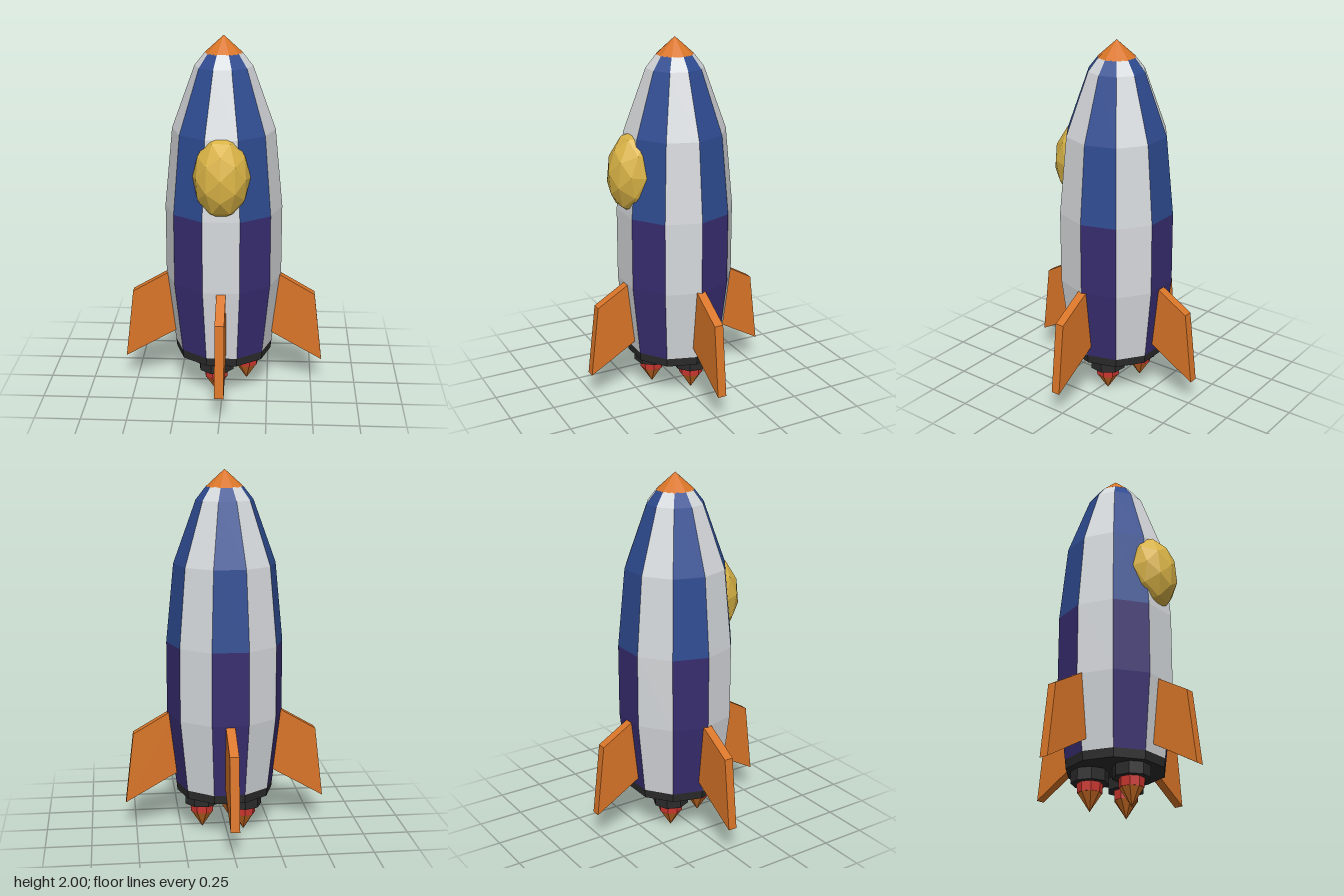
import * as THREE from 'three';

const mat = (name, color, side = THREE.FrontSide) => {
  const m = new THREE.MeshStandardMaterial({ color, flatShading: true, side });
  m.name = name;
  return m;
};

export function createModel() {
  const white = mat('white', 0xd6d9dc);
  const blue = mat('blue', 0x2e4b90);
  const purple = mat('purple', 0x382d70);
  const orange = mat('orange', 0xd97528);
  const black = mat('black', 0x2b2b2b);
  const red = mat('red', 0xcc362f);
  const gold = mat('gold', 0xd9b346);

  const rocket = new THREE.Group();
  rocket.name = 'rocket';
  const add = (name, geometry, material, parent = rocket) => {
    const mesh = new THREE.Mesh(geometry, material);
    mesh.name = name;
    parent.add(mesh);
    return mesh;
  };

  // Hull panels: alternate faces of a ten-sided hull, profile given as [radius, y]
  const SIDES = 10;
  const panels = (profile, parity) => {
    const pos = [];
    for (let k = parity; k < SIDES; k += 2) {
      const a0 = (k / SIDES) * Math.PI * 2;
      const a1 = ((k + 1) / SIDES) * Math.PI * 2;
      const p = ([r, y], a) => [r * Math.cos(a), y, r * Math.sin(a)];
      for (let i = 0; i < profile.length - 1; i++) {
        const A = p(profile[i], a0), B = p(profile[i], a1);
        const C = p(profile[i + 1], a1), D = p(profile[i + 1], a0);
        pos.push(...A, ...D, ...C, ...A, ...C, ...B);
      }
    }
    const g = new THREE.BufferGeometry();
    g.setAttribute('position', new THREE.Float32BufferAttribute(pos, 3));
    g.computeVertexNormals();
    return g;
  };
  const lower = [[0.272, 0.265], [0.32, 0.67], [0.32, 1.07]];
  const upper = [[0.32, 1.07], [0.278, 1.5], [0.155, 1.84], [0.1, 1.91]];
  add('whitePanels', panels([...lower, ...upper.slice(1)], 0), white);
  add('lowerPanels', panels(lower, 1), purple);
  add('upperPanels', panels(upper, 1), blue);

  // Nose and tail collar, turned so their corners meet the hull's
  const tenSided = (rTop, rBottom, y0, y1) =>
    new THREE.CylinderGeometry(rTop, rBottom, y1 - y0, SIDES)
      .rotateY(Math.PI / SIDES).translate(0, (y0 + y1) / 2, 0);
  add('noseCone', tenSided(0, 0.102, 1.908, 2), orange);
  add('tailCollar', tenSided(0.272, 0.267, 0.217, 0.267), black);

  // Faceted window bubble
  const bubble = add('windowBubble', new THREE.IcosahedronGeometry(1, 1), gold);
  bubble.scale.set(0.152, 0.227, 0.152);
  bubble.position.set(0, 1.3, 0.238);
  bubble.rotation.x = -0.1;

  // Four fins, rooted inside the hull
  const outline = new THREE.Shape([
    [0.25, 0.71], [0.25, 0.337], [0.557, 0.16], [0.51, 0.558],
  ].map(([x, y]) => new THREE.Vector2(x, y)));
  const finGeometry = new THREE.ExtrudeGeometry(outline, { depth: 0.05, bevelEnabled: false })
    .translate(0, 0, -0.025);
  ['leftFin', 'backFin', 'rightFin', 'frontFin'].forEach((name, i) => {
    const fin = add(name, finGeometry, orange);
    const angle = (i * Math.PI) / 2;
    fin.rotation.y = angle;
    // front and back fins sit on flats, closer to the axis
    if (i % 2) fin.position.z = 0.03 * Math.sin(angle);
  });

  // Three engines, each with a nozzle, a red ring and a flame cone
  for (let i = 0; i < 3; i++) {
    const a = THREE.MathUtils.degToRad(-15 + 120 * i);
    const engine = new THREE.Group();
    engine.name = 'engine' + (i + 1);
    engine.position.set(0.135 * Math.cos(a), 0, 0.135 * Math.sin(a));
    engine.rotation.y = -a;
    const ring = (name, rTop, rBottom, y0, y1, material) =>
      add(name, new THREE.CylinderGeometry(rTop, rBottom, y1 - y0, 8)
        .translate(0, (y0 + y1) / 2, 0), material, engine);
    ring('nozzle', 0.1, 0.1, 0.153, 0.22, black);
    ring('redRing', 0.068, 0.066, 0.103, 0.155, red);
    ring('flame', 0.064, 0, 0.005, 0.104, orange);
    rocket.add(engine);
  }
  return rocket;
}
